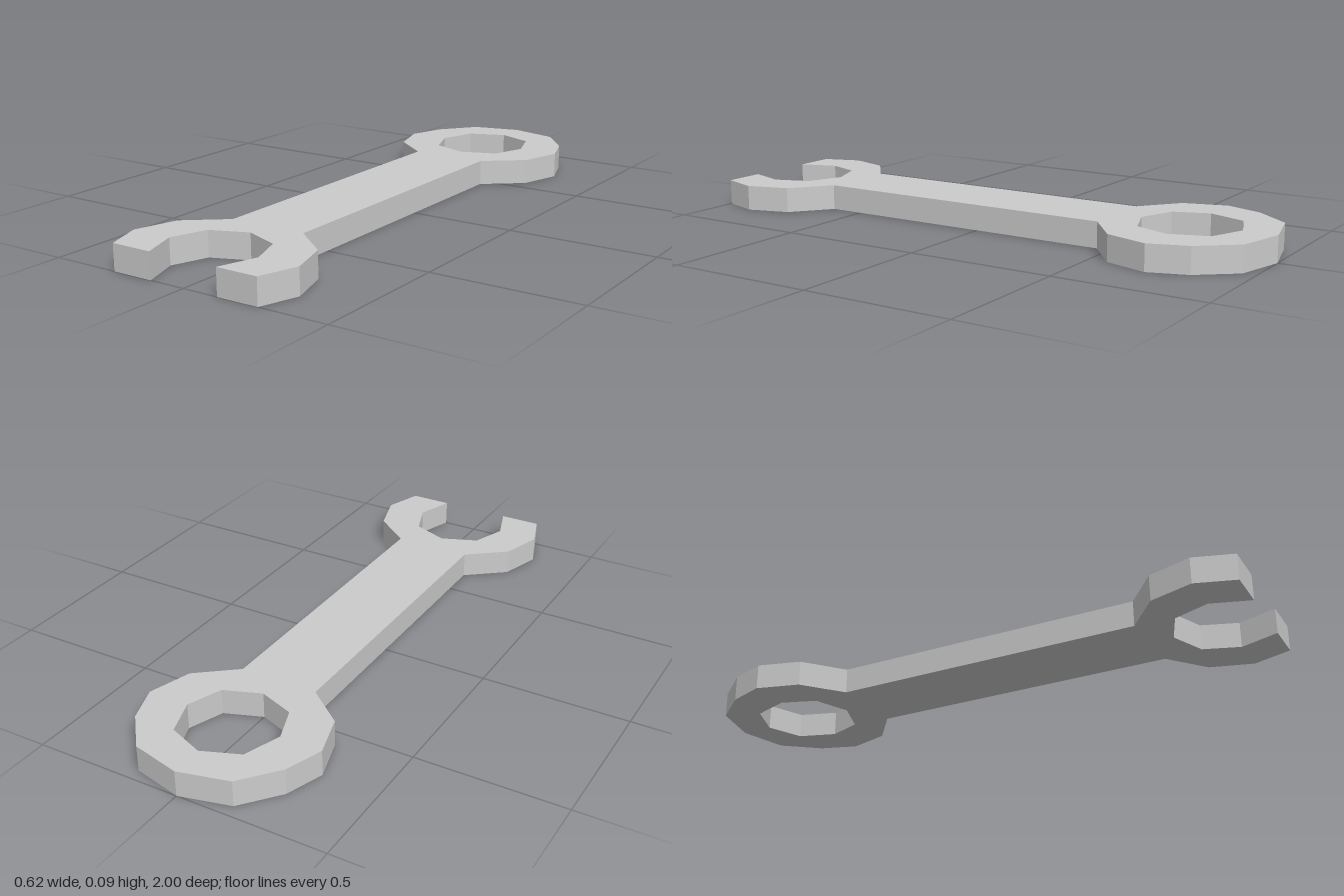
import * as THREE from 'three';

const THICKNESS = 0.087;

// Right half of the outline as [x, z], from the ring's tip to the jaw's throat
const halfOutline = [
  [0, -1], [0.168, -0.958], [0.267, -0.837], [0.311, -0.709], [0.267, -0.562], // ring
  [0.135, -0.456], [0.135, 0.62],                                              // handle
  [0.267, 0.725], [0.311, 0.87], [0.267, 1], [0.124, 1],                       // jaw
  [0.168, 0.87], [0.124, 0.75], [0, 0.7],                                      // throat
];

// Right half of the eight-sided hole in the ring
const halfHole = [[0, -0.887], [0.124, -0.837], [0.168, -0.709], [0.124, -0.59], [0, -0.543]];

// Mirror a half outline across x = 0; shape y is -z
function mirrored(half) {
  const left = half.slice(1, -1).reverse().map(([x, z]) => [-x, z]);
  return [...half, ...left].map(([x, z]) => new THREE.Vector2(x, -z));
}

export function createModel() {
  const group = new THREE.Group();
  group.name = 'wrench';

  // The hole winds opposite to the outline so its walls face inward
  const shape = new THREE.Shape(mirrored(halfOutline));
  shape.holes.push(new THREE.Path(mirrored(halfHole).reverse()));

  // Lay the extruded plate flat on the ground
  const geometry = new THREE.ExtrudeGeometry(shape, { depth: THICKNESS, bevelEnabled: false });
  geometry.rotateX(-Math.PI / 2);

  const material = new THREE.MeshStandardMaterial({ color: 0xcccccc, flatShading: true });
  const body = new THREE.Mesh(geometry, material);
  body.name = 'wrenchBody';
  group.add(body);
  return group;
}
